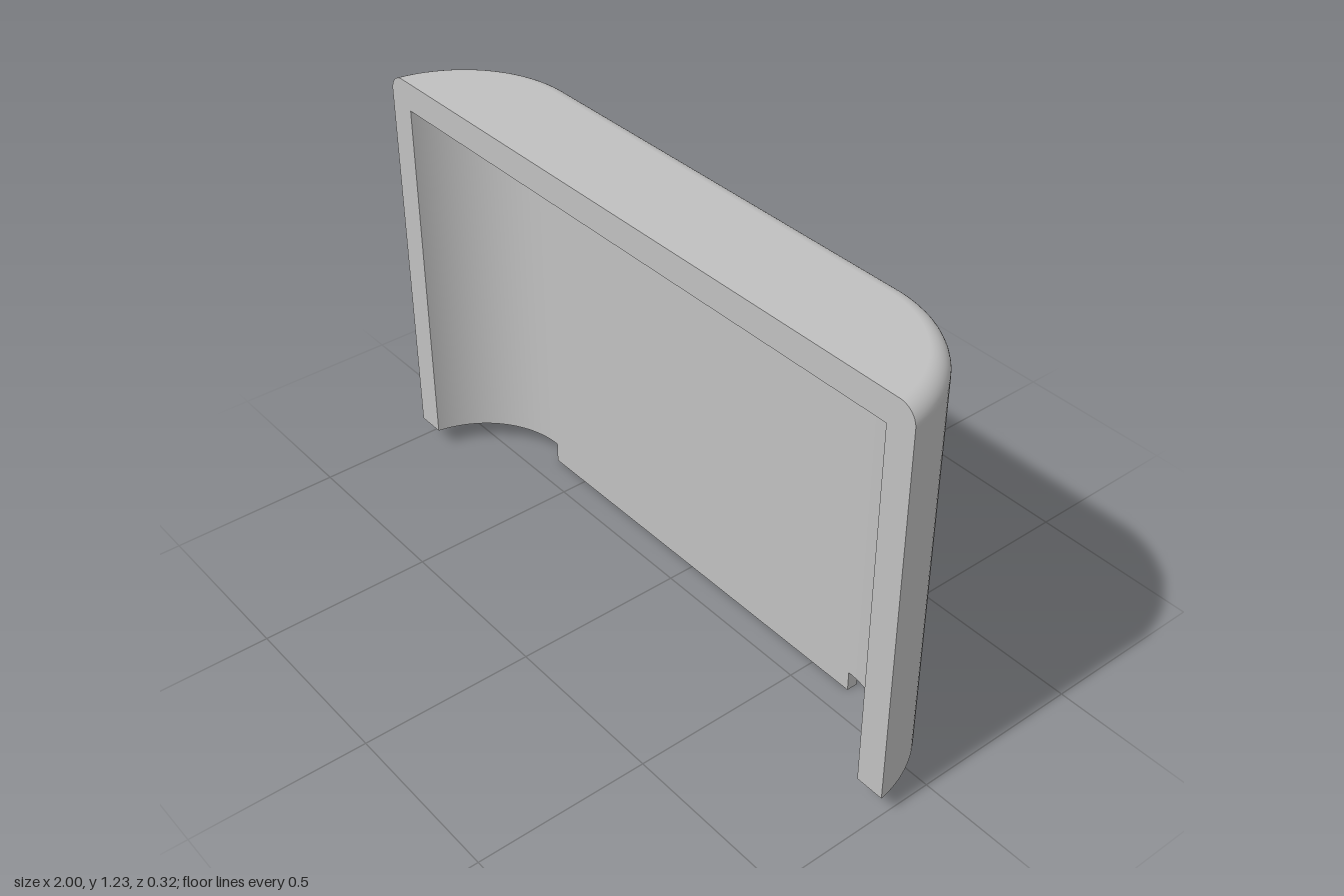
import * as THREE from 'three';

const CX = 0.635, FRONT = 0.161, BACK = -0.161, WALL = 0.083;
const BOTTOM = 0.062, TOP = 1.227, CEILING = 1.144, FILLET = 0.05;
// Corner radius that is tangent to the back and reaches x = 1 at the front
const DEPTH = FRONT - BACK;
const R = ((1 - CX) ** 2 + DEPTH ** 2) / (2 * DEPTH);
const CZ = BACK + R;
const SEG = 32;

// Plan outline inset by d, running from the +x front edge round the back to the -x front edge
function outline(d) {
  const r = R - d, a0 = Math.asin((CZ - FRONT) / r), pts = [];
  for (let side = 0; side < 2; side++) {
    for (let i = 0; i <= SEG; i++) {
      const t = i / SEG;
      const a = side ? Math.PI / 2 + (Math.PI / 2 - a0) * t : a0 + (Math.PI / 2 - a0) * t;
      const nx = Math.cos(a), nz = -Math.sin(a);
      pts.push({ x: (side ? -CX : CX) + r * nx, z: CZ + r * nz, nx, nz });
    }
  }
  return pts;
}

// Surface swept round the outline; each row is [inset, height, normal tilt]
function sweep(rows) {
  const pos = [], nor = [], idx = [];
  const n = 2 * (SEG + 1);
  rows.forEach(([d, y, tilt], i) => {
    for (const p of outline(d)) {
      pos.push(p.x, y, p.z);
      nor.push(p.nx * Math.cos(tilt), Math.sin(tilt), p.nz * Math.cos(tilt));
    }
    if (i === 0) return;
    for (let j = 0; j < n - 1; j++) {
      const a = (i - 1) * n + j, b = a + n;
      idx.push(a, a + 1, b, a + 1, b + 1, b);
    }
  });
  const g = new THREE.BufferGeometry();
  g.setAttribute('position', new THREE.Float32BufferAttribute(pos, 3));
  g.setAttribute('normal', new THREE.Float32BufferAttribute(nor, 3));
  g.setIndex(idx);
  return g;
}

// Flat plate filling the outline, facing up (1) or down (-1)
function cap(d, y, up) {
  const shape = new THREE.Shape(outline(d).map(p => new THREE.Vector2(p.x, -up * p.z)));
  return new THREE.ShapeGeometry(shape).rotateX(-up * Math.PI / 2).translate(0, y, 0);
}

export function createModel() {
  const group = new THREE.Group();
  const grey = new THREE.MeshStandardMaterial({ color: 0xc0c0c0 });
  grey.name = 'plain grey';
  const add = (name, geometry) => {
    const mesh = new THREE.Mesh(geometry, grey);
    mesh.name = name;
    group.add(mesh);
    return mesh;
  };

  // Outer wall with its rounded top edge
  const outer = [[0, BOTTOM, 0]];
  for (let i = 0; i <= 10; i++) {
    const a = (i / 10) * Math.PI / 2;
    outer.push([FILLET * (1 - Math.cos(a)), TOP - FILLET + FILLET * Math.sin(a), a]);
  }
  add('outerWall', sweep(outer));
  add('top', cap(FILLET, TOP, 1));

  // Hollow inside and the lower rim
  add('innerWall', sweep([[WALL, CEILING, Math.PI], [WALL, BOTTOM, Math.PI]]));
  add('ceiling', cap(WALL, CEILING, -1));
  add('bottomRim', sweep([[WALL, BOTTOM, -Math.PI / 2], [0, BOTTOM, -Math.PI / 2]]));

  // Flat front frame, open at the bottom
  const edge = outer.map(([d, y]) => new THREE.Vector2(outline(d)[0].x, y));
  const inX = outline(WALL)[0].x;
  const mirrored = edge.map(p => new THREE.Vector2(-p.x, p.y)).reverse();
  const frame = new THREE.Shape([
    ...edge, ...mirrored,
    new THREE.Vector2(-inX, BOTTOM), new THREE.Vector2(-inX, CEILING),
    new THREE.Vector2(inX, CEILING), new THREE.Vector2(inX, BOTTOM),
  ]);
  add('frontFrame', new THREE.ShapeGeometry(frame).translate(0, 0, FRONT));

  // Locating tab below the back wall, flush with the inside
  const tabDepth = 0.033;
  add('bottomTab', new THREE.BoxGeometry(2 * CX, BOTTOM, tabDepth))
    .position.set(0, BOTTOM / 2, BACK + WALL - tabDepth / 2);

  return group;
}
